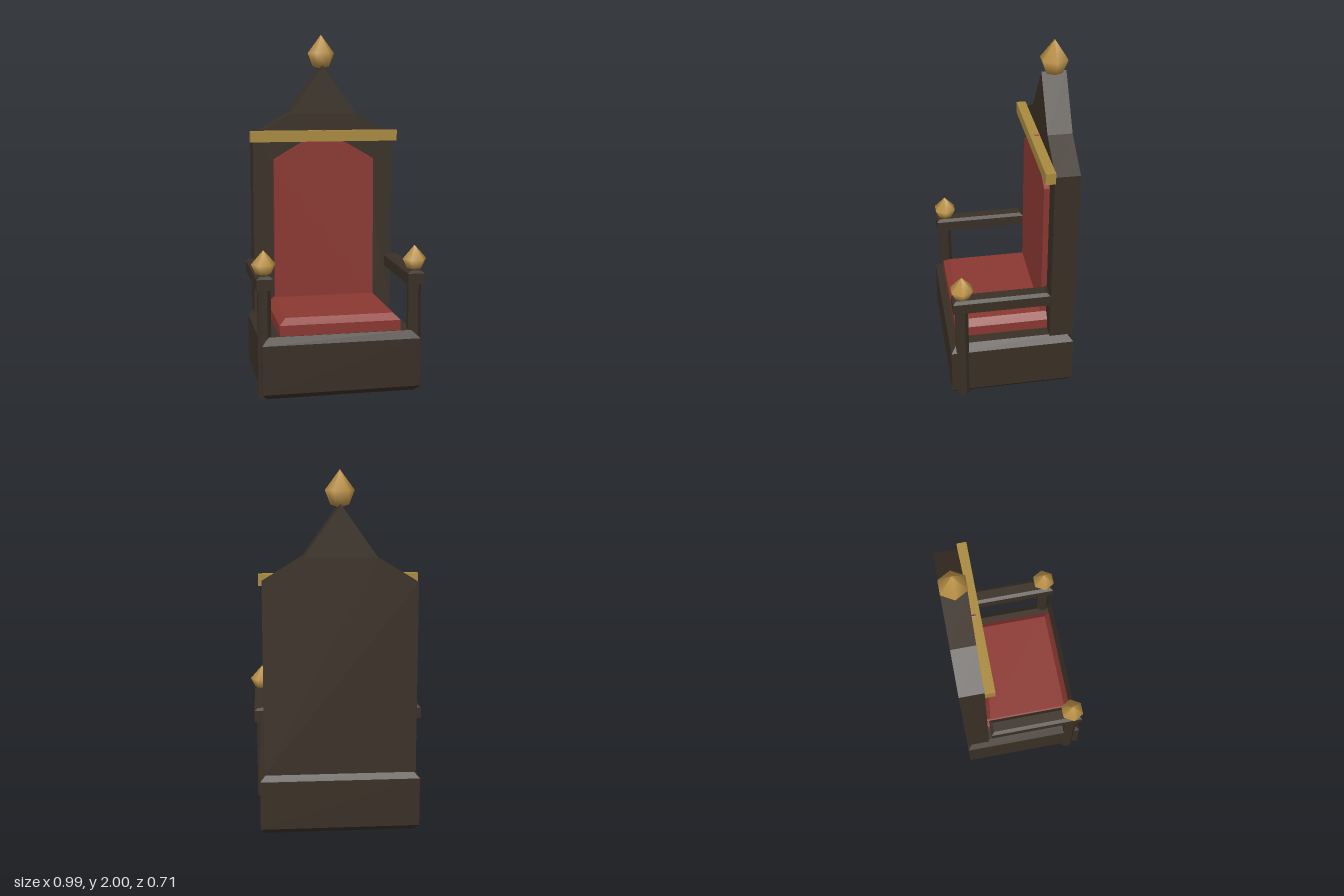
import * as THREE from 'three';

const mat = (name, color) => {
  const m = new THREE.MeshStandardMaterial({ color });
  m.name = name;
  return m;
};

// Rectangular solid lofted through rings of [halfX, y, halfZ], faceted
function loft(rings) {
  const pos = [];
  const corners = rings.map(([x, y, z]) => [[x, y, z], [x, y, -z], [-x, y, -z], [-x, y, z]]);
  const quad = (a, b, c, d) => pos.push(...a, ...b, ...c, ...a, ...c, ...d);
  for (let r = 0; r < corners.length - 1; r++) {
    const lo = corners[r], hi = corners[r + 1];
    for (let i = 0; i < 4; i++) {
      const j = (i + 1) % 4;
      quad(lo[i], lo[j], hi[j], hi[i]);
    }
  }
  const top = corners[corners.length - 1], bottom = corners[0];
  quad(top[0], top[1], top[2], top[3]);
  quad(bottom[3], bottom[2], bottom[1], bottom[0]);
  const g = new THREE.BufferGeometry();
  g.setAttribute('position', new THREE.Float32BufferAttribute(pos, 3));
  g.computeVertexNormals();
  return g;
}

// Mirrored outline given by its right half from bottom to peak, extruded in z
function panel(half, z0, z1) {
  const left = half.filter(([x]) => x > 0).reverse().map(([x, y]) => [-x, y]);
  const shape = new THREE.Shape([...half, ...left].map(([x, y]) => new THREE.Vector2(x, y)));
  const g = new THREE.ExtrudeGeometry(shape, { depth: z1 - z0, bevelEnabled: false });
  return g.translate(0, 0, z0);
}

// Six-sided pointed drop, base at y = 0, a corner facing +x
function drop(radius, height) {
  const profile = [[0, 0], [0.62, 0.08], [1, 0.46], [0, 1]]
    .map(([r, y]) => new THREE.Vector2(r * radius, y * height));
  return new THREE.LatheGeometry(profile, 6, Math.PI / 2);
}

export function createModel() {
  const group = new THREE.Group();
  group.name = 'throne';
  const wood = mat('darkWood', 0x3a3026);
  const red = mat('redUpholstery', 0x8c3831);
  const gold = mat('goldTrim', 0xaa8a3e);
  const brightGold = mat('finialGold', 0xbd9347);

  const add = (name, geometry, material, x = 0, y = 0, z = 0) => {
    const mesh = new THREE.Mesh(geometry, material);
    mesh.name = name;
    mesh.position.set(x, y, z);
    group.add(mesh);
  };

  // Plinth with chamfered top and bottom
  add('base', loft([
    [0.42, 0, 0.33], [0.445, 0.03, 0.357], [0.445, 0.305, 0.357], [0.405, 0.345, 0.32],
  ]), wood);

  // Seat cushion, tucked into the backrest
  add('seatCushion', loft([
    [0.342, 0.34, 0.285], [0.342, 0.405, 0.285], [0.305, 0.44, 0.25],
  ]), red, 0, 0, 0.03);

  // Tall backrest with a stepped peak and its upholstered panel
  add('backrest', panel([[0.42, 0.345], [0.42, 1.405], [0.2, 1.54], [0, 1.82]], -0.357, -0.22), wood);
  add('backCushion', panel([[0.3, 0.445], [0.3, 1.27], [0, 1.445]], -0.221, -0.188), red);

  // Gold crossbar and top finial
  add('crossbar', new THREE.BoxGeometry(0.876, 0.064, 0.055), gold, 0, 1.408, -0.193);
  add('topFinial', drop(0.08, 0.2), brightGold, 0, 1.8, -0.288);

  // Armrests, posts and arm finials
  const arm = loft([
    [0.047, 0.61, 0.273], [0.047, 0.672, 0.273], [0.028, 0.686, 0.256],
  ]);
  const post = new THREE.CylinderGeometry(0.038, 0.041, 0.615, 8, 1).toNonIndexed();
  post.rotateY(Math.PI / 8);
  post.computeVertexNormals();
  const armFinial = drop(0.068, 0.142);
  for (const [side, s] of [['left', 1], ['right', -1]]) {
    add(side + 'Armrest', arm, wood, s * 0.423, 0, 0.068);
    add(side + 'ArmPost', post, wood, s * 0.424, 0.3075, 0.29);
    add(side + 'ArmFinial', armFinial, brightGold, s * 0.425, 0.683, 0.286);
  }
  return group;
}
